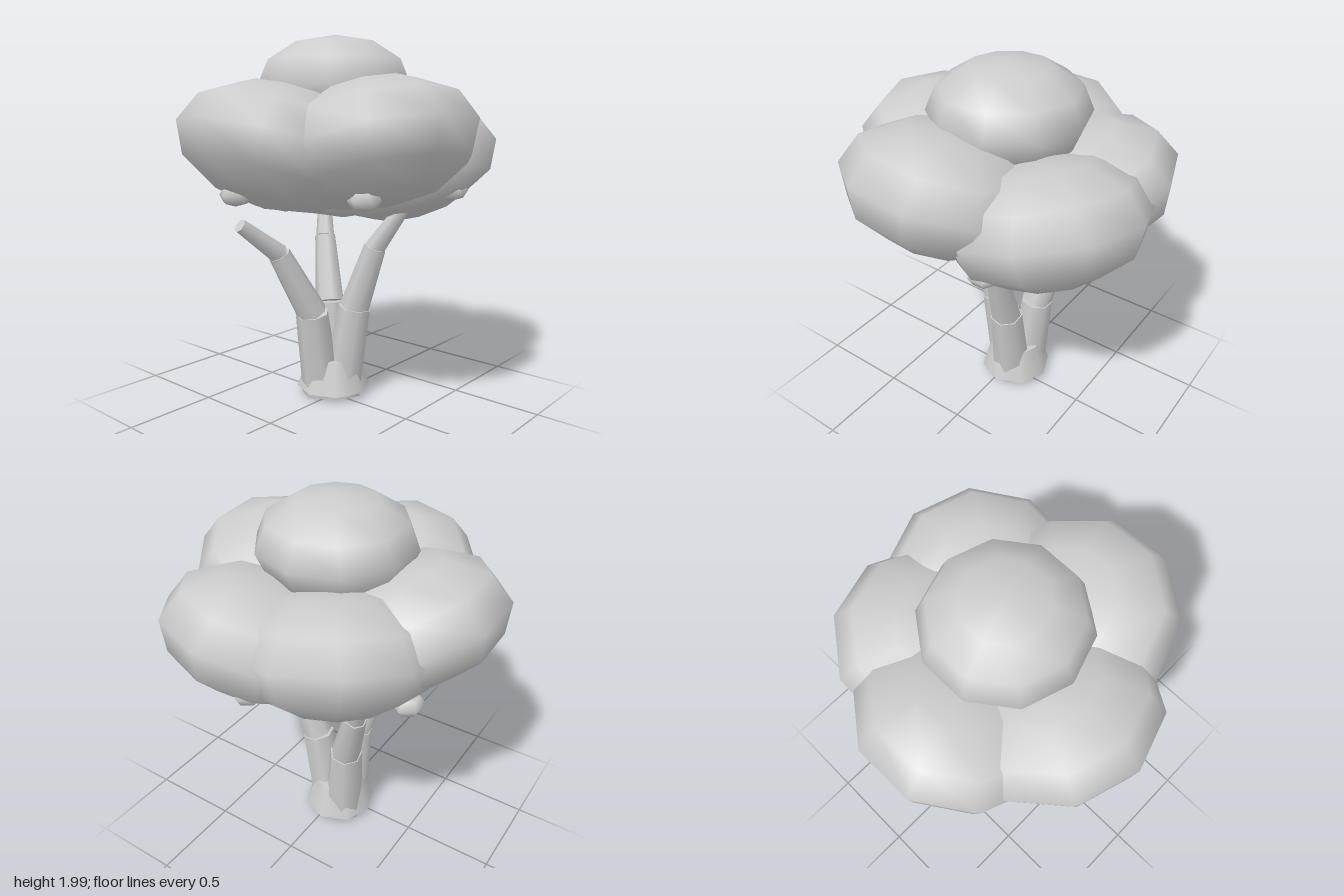
import * as THREE from 'three';

const UP = new THREE.Vector3(0, 1, 0);

export function createModel() {
  const group = new THREE.Group();
  const material = new THREE.MeshStandardMaterial({ color: 0xcccccc });

  function add(name, geometry, position) {
    const mesh = new THREE.Mesh(geometry, material);
    mesh.name = name;
    mesh.position.set(...position);
    group.add(mesh);
    return mesh;
  }

  // Flattened low-poly ball with smooth normals
  function ball(radius, height, sides, rings) {
    return new THREE.SphereGeometry(1, sides, rings)
      .rotateY(Math.PI / 2)
      .scale(radius, height, radius);
  }

  // Tapered limb section between two points
  function limb(name, from, to, r0, r1) {
    const a = new THREE.Vector3(...from);
    const b = new THREE.Vector3(...to);
    const dir = b.clone().sub(a);
    const mid = a.clone().add(b).multiplyScalar(0.5);
    const mesh = add(name, new THREE.CylinderGeometry(r1, r0, dir.length(), 7), mid.toArray());
    mesh.quaternion.setFromUnitVectors(UP, dir.normalize());
  }

  // Flared foot of the trunk
  add('trunkBase', new THREE.CylinderGeometry(0.145, 0.205, 0.18, 8), [-0.035, 0.14, -0.038]);

  // Three trunks, each of three sections that bend outwards
  const trunks = {
    frontTrunk: [[-0.06, 0.03, 0.03], [-0.06, 0.5, 0.11], [-0.13, 0.85, 0.29], [-0.18, 1.03, 0.52]],
    leftTrunk: [[0.02, 0.03, -0.05], [0.1, 0.53, -0.065], [0.22, 0.88, -0.09], [0.37, 1.1, -0.13]],
    backTrunk: [[-0.09, 0.03, -0.08], [-0.13, 0.51, -0.12], [-0.245, 0.87, -0.21], [-0.32, 1.1, -0.29]],
  };
  const radii = [[0.112, 0.092], [0.085, 0.062], [0.056, 0.038]];
  for (const [name, points] of Object.entries(trunks)) {
    radii.forEach(([r0, r1], i) => limb(`${name}Section${i + 1}`, points[i], points[i + 1], r0, r1));
  }

  // Ring of foliage, each clump tilted so its outer edge rises
  const clumps = [
    [-0.05, 1.42, 0.36],
    [0.366, 1.44, 0.105],
    [0.2, 1.34, -0.37],
    [-0.19, 1.34, -0.315],
    [-0.375, 1.39, 0.055],
  ];
  clumps.forEach((p, i) => {
    const clump = add(`foliageClump${i + 1}`, ball(0.525, 0.315, 10, 6), p);
    const axis = new THREE.Vector3(-p[2], 0, p[0]).normalize();
    clump.quaternion.setFromAxisAngle(axis, 0.32);
  });

  // Crown on top
  add('topFoliage', ball(0.415, 0.26, 10, 6), [0, 1.74, -0.015]);

  // Small fruits hanging under the foliage
  const fruits = [
    [-0.115, 0.6], [0.48, 0.34], [0.57, -0.28],
    [0.07, -0.67], [-0.6, -0.33], [-0.62, 0.2],
  ];
  fruits.forEach(([x, z], i) => add(`fruit${i + 1}`, ball(0.084, 0.057, 6, 4), [x, 1.2, z]));

  return group;
}
